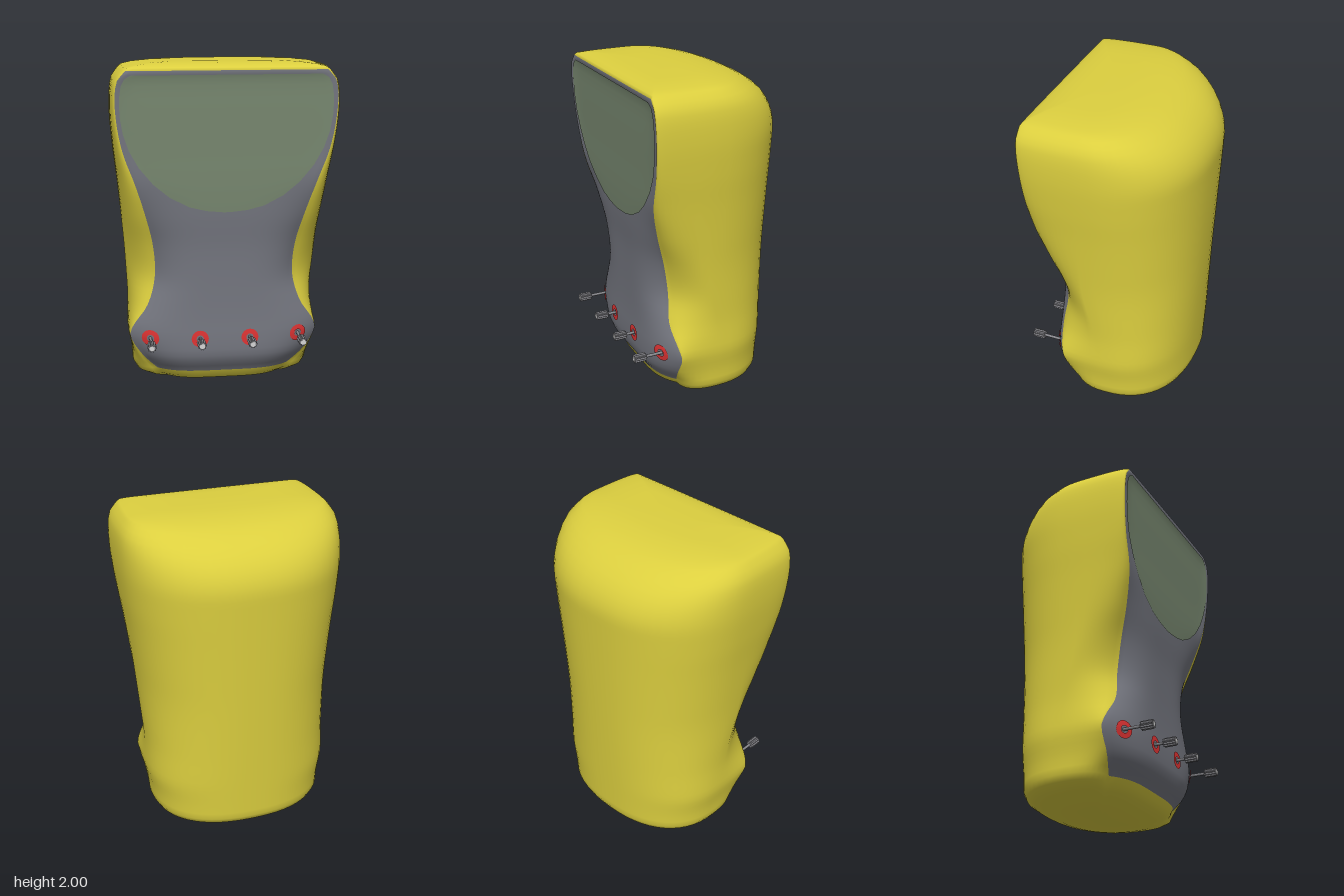
import * as THREE from 'three';

const mat = (name, color, side = THREE.FrontSide) => {
  const m = new THREE.MeshStandardMaterial({ color, side });
  m.name = name;
  return m;
};

// Front profile: height, centre z, panel edge x, panel edge z, half width
const PROFILE = [
  [0.10, 0.30, 0.41, 0.21, 0.555],
  [0.20, 0.365, 0.50, 0.245, 0.562],
  [0.33, 0.375, 0.575, 0.25, 0.583],
  [0.41, 0.372, 0.55, 0.268, 0.582],
  [0.53, 0.37, 0.47, 0.285, 0.58],
  [0.70, 0.372, 0.422, 0.27, 0.588],
  [0.90, 0.38, 0.43, 0.30, 0.60],
  [1.10, 0.40, 0.475, 0.36, 0.617],
  [1.30, 0.412, 0.535, 0.41, 0.636],
  [1.50, 0.416, 0.605, 0.425, 0.658],
  [1.72, 0.424, 0.64, 0.436, 0.672],
  [1.89, 0.428, 0.63, 0.443, 0.658],
  [1.955, 0.443, 0.58, 0.44, 0.615],
];
const Y0 = 0.1, Y1 = 1.955;

// Smooth profile values at a height
function profileAt(y) {
  const n = PROFILE.length;
  let i = 0;
  while (i < n - 2 && PROFILE[i + 1][0] < y) i++;
  const a = PROFILE[i], b = PROFILE[i + 1], h = b[0] - a[0], u = (y - a[0]) / h;
  const before = PROFILE[Math.max(0, i - 1)], after = PROFILE[Math.min(n - 1, i + 2)];
  return [1, 2, 3, 4].map((k) => {
    const ma = h * (b[k] - before[k]) / (b[0] - before[0]);
    const mb = h * (after[k] - a[k]) / (after[0] - a[0]);
    const d = b[k] - a[k];
    return a[k] + u * (ma + u * (3 * d - 2 * ma - mb + u * (ma + mb - 2 * d)));
  });
}

// Whole section at a height, rounded off at the bottom and the top
function sectionAt(y) {
  const [f, c, e, w] = profileAt(THREE.MathUtils.clamp(y, Y0, Y1));
  const s = 0.1 * THREE.MathUtils.smoothstep(y, 0.35, 1);
  const slope = Math.max(0, (y - 1.64) / 0.36);
  const b = y < 1.64 ? -0.443 - 0.041 * y : 0.1 - 0.61 * Math.pow(1 - slope * slope, 0.35);
  const k = 1 - 0.6 * Math.exp(-Math.pow((y - 0.72) / 0.3, 2));
  const low = y < Y0, mid = low ? -0.05 : 0.1;
  const t = low ? 1 - y / Y0 : Math.max(0, (y - Y1) / (2 - Y1));
  const r = Math.pow(1 - t * t, low ? 0.28 : 0.25);
  const z = (v) => mid + (v - mid) * r;
  return { f: z(f), c: c * r, e: z(e), w: w * r, s: z(s), b: low ? z(b) : b, k };
}

// Front face depth at a fraction t of the panel half width
const faceZ = ({ f, e }, t) => f + (e - f) * Math.pow(Math.abs(t), e > f ? 16 : 4);

const NP = 36, NS = 8, NB = 28;

// One closed cross-section: front panel, one side, the back, other side
function sectionLoop(sec) {
  const { c, e, w, s, b, k } = sec;
  const loop = [];
  for (let j = 0; j < NP; j++) {
    const t = -1 + (2 * j) / NP;
    loop.push([c * t, faceZ(sec, t)]);
  }
  const corner = new THREE.QuadraticBezierCurve(
    new THREE.Vector2(c, e),
    new THREE.Vector2((c + w) / 2, (e + s) / 2).lerp(new THREE.Vector2(w, e), k),
    new THREE.Vector2(w, s),
  );
  const side = corner.getPoints(NS).map((p) => [p.x, p.y]);
  loop.push(...side);
  for (let j = 1; j < NB; j++) {
    const a = (Math.PI * j) / NB, p = 2 / 2.35;
    const x = Math.sign(Math.cos(a)) * Math.pow(Math.abs(Math.cos(a)), p);
    loop.push([w * x, s + (b - s) * Math.pow(Math.sin(a), p)]);
  }
  for (let j = NS; j > 0; j--) loop.push([-side[j][0], side[j][1]]);
  return loop;
}

// Body loft with the shell in group 0 and the front panel in group 1
function bodyGeometry() {
  const heights = [0.004, 0.015, 0.035, 0.065];
  for (let i = 0; i <= 45; i++) heights.push(Y0 + i * 0.04);
  heights.push(1.93, Y1, 1.97, 1.983, 1.993, 1.998);

  const pos = [], shell = [], panel = [];
  const loops = heights.map((y) => sectionLoop(sectionAt(y)));
  const n = loops[0].length, last = loops.length - 1;
  loops.forEach((loop, i) => loop.forEach(([x, z]) => pos.push(x, heights[i], z)));
  for (let i = 0; i < last; i++) {
    for (let j = 0; j < n; j++) {
      const a = i * n + j, b = i * n + ((j + 1) % n);
      const front = j < NP && heights[i] >= Y0 && heights[i] < Y1;
      (front ? panel : shell).push(a, b, b + n, a, b + n, a + n);
    }
  }
  const bottom = pos.length / 3;
  pos.push(0, 0, -0.05, 0, 2, 0.1);
  for (let j = 0; j < n; j++) {
    const k = (j + 1) % n;
    shell.push(k, j, bottom, last * n + j, last * n + k, bottom + 1);
  }
  const g = new THREE.BufferGeometry();
  g.setAttribute('position', new THREE.Float32BufferAttribute(pos, 3));
  g.setIndex([...shell, ...panel]);
  g.addGroup(0, shell.length, 0);
  g.addGroup(shell.length, panel.length, 1);
  g.computeVertexNormals();
  return g;
}

// Lay a flat geometry onto the front face
function drape(g, lift) {
  const p = g.attributes.position;
  for (let i = 0; i < p.count; i++) {
    const sec = sectionAt(p.getY(i));
    p.setZ(i, faceZ(sec, Math.min(1, p.getX(i) / sec.c)) + lift);
  }
  g.computeVertexNormals();
  return g;
}

// Screen outline as height and half width
const SCREEN = [[1.125, 0.02], [1.135, 0.12], [1.16, 0.22], [1.22, 0.335], [1.3, 0.43], [1.4, 0.512],
  [1.5, 0.567], [1.6, 0.6], [1.7, 0.616], [1.8, 0.617], [1.87, 0.606], [1.91, 0.585], [1.93, 0.55]];

function screenGeometry() {
  const cols = 30, rows = SCREEN.length - 1;
  const g = new THREE.PlaneGeometry(2, 1, cols, rows);
  const p = g.attributes.position;
  for (let i = 0; i < p.count; i++) {
    const [y, w] = SCREEN[rows - Math.floor(i / (cols + 1))];
    p.setXY(i, p.getX(i) * w, y);
  }
  return drape(g, 0.006);
}

export function createModel() {
  const yellow = mat('yellow shell', 0xdccf3f);
  const grey = mat('grey panel', 0x757780);
  const green = mat('green screen', 0x788870, THREE.DoubleSide);
  const red = mat('red ring', 0xe03434, THREE.DoubleSide);
  const metal = mat('knob metal', 0x85858a);
  const pale = mat('pale knob tip', 0xd4d4d4);

  const model = new THREE.Group();
  const add = (parent, name, geometry, material) => {
    const m = new THREE.Mesh(geometry, material);
    m.name = name;
    parent.add(m);
    return m;
  };
  add(model, 'body', bodyGeometry(), [yellow, grey]);
  add(model, 'screen', screenGeometry(), green);

  // Fluted knob outline
  const flute = new THREE.Shape();
  for (let i = 0; i < 20; i++) {
    const a = (i * Math.PI) / 10, r = i % 2 ? 0.02 : 0.027;
    flute[i ? 'lineTo' : 'moveTo'](r * Math.cos(a), r * Math.sin(a));
  }
  const knobGeo = new THREE.ExtrudeGeometry(flute, { depth: 0.075, bevelEnabled: false });
  const shaftGeo = new THREE.CylinderGeometry(0.009, 0.009, 0.16, 12).rotateX(Math.PI / 2);
  const tipGeo = new THREE.CylinderGeometry(0.017, 0.017, 0.004, 6).rotateX(Math.PI / 2);

  // Row of controls
  const y = 0.337;
  for (const x of [-0.456, -0.158, 0.146, 0.45]) {
    const control = new THREE.Group();
    control.name = 'control';
    model.add(control);
    const ring = new THREE.RingGeometry(0.022, 0.052, 28, 4).translate(x, y, 0);
    add(control, 'ring', drape(ring, 0.007), red);
    add(control, 'shaft', shaftGeo, metal).position.set(x, y, 0.37);
    add(control, 'knob', knobGeo, metal).position.set(x, y, 0.435);
    add(control, 'knobTip', tipGeo, pale).position.set(x, y, 0.511);
  }
  return model;
}
